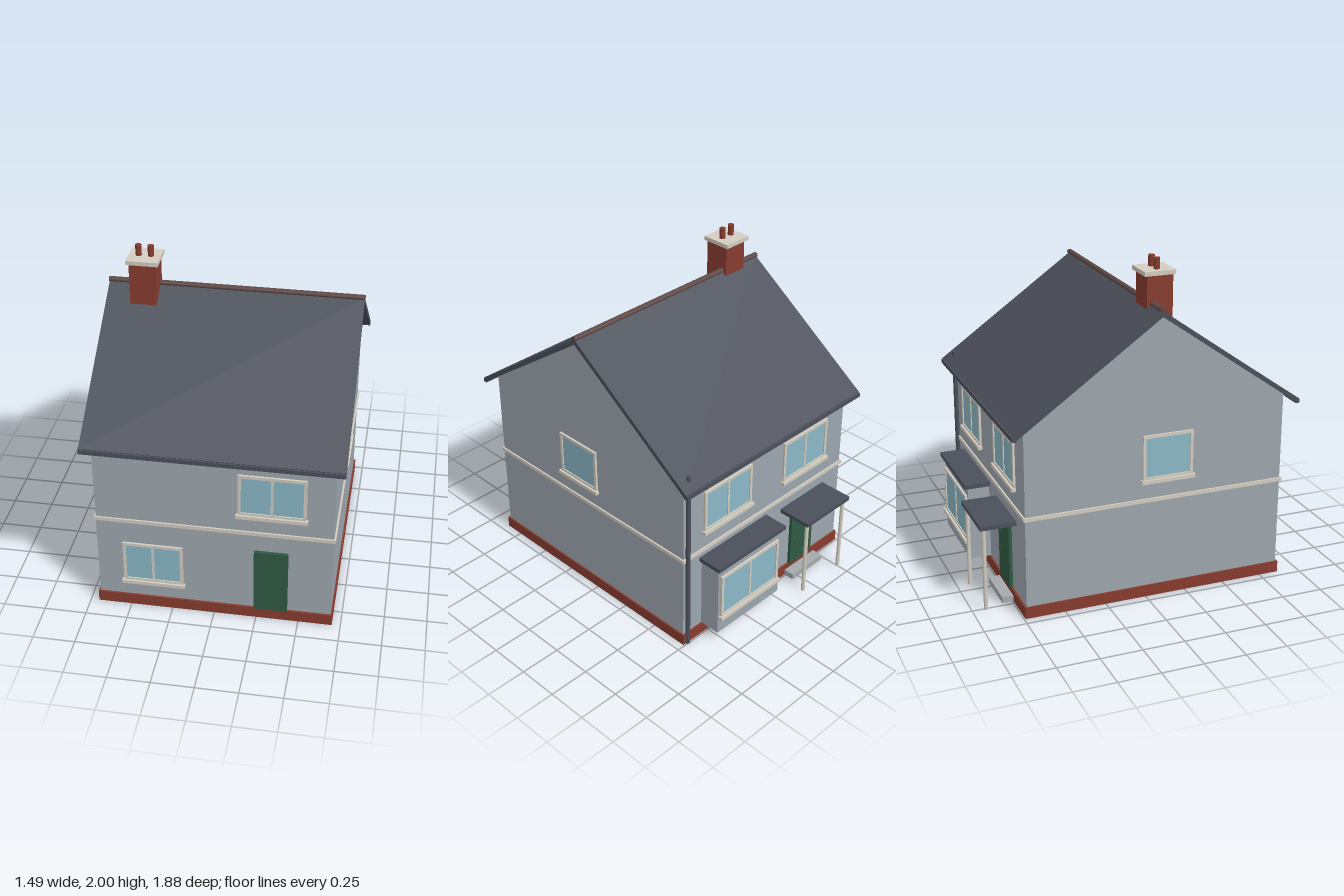
import * as THREE from 'three';

const mat = (name, color) => {
  const m = new THREE.MeshStandardMaterial({ color });
  m.name = name;
  return m;
};

export function createModel() {
  const wall = mat('render grey', 0x9da6ae);
  const slate = mat('slate', 0x4b4f5a);
  const brick = mat('brick red', 0x873c2f);
  const cream = mat('cream trim', 0xd3cdc1);
  const glass = mat('glass blue', 0x8bb8c7);
  const green = mat('door green', 0x2f5a42);
  const ridgeBrown = mat('ridge brown', 0x5e4846);
  const stone = mat('step stone', 0xa4a9ad);

  const house = new THREE.Group();
  house.name = 'house';

  const add = (parent, name, geometry, material) => {
    const mesh = new THREE.Mesh(geometry, material);
    mesh.name = name;
    parent.add(mesh);
    return mesh;
  };
  // Box given by its min and max on each axis
  const box = (parent, name, material, x0, x1, y0, y1, z0, z1) => {
    const mesh = add(parent, name, new THREE.BoxGeometry(x1 - x0, y1 - y0, z1 - z0), material);
    mesh.position.set((x0 + x1) / 2, (y0 + y1) / 2, (z0 + z1) / 2);
    return mesh;
  };
  const post = (parent, name, material, r, x, z, y0, y1) => {
    const mesh = add(parent, name, new THREE.CylinderGeometry(r, r, y1 - y0, 16), material);
    mesh.position.set(x, (y0 + y1) / 2, z);
    return mesh;
  };
  // Extrude a (z, y) outline along x, centred
  const acrossX = (points, width) => {
    const shape = new THREE.Shape(points.map(p => new THREE.Vector2(p[0], p[1])));
    return new THREE.ExtrudeGeometry(shape, { depth: width, bevelEnabled: false })
      .translate(0, 0, -width / 2).rotateY(-Math.PI / 2);
  };

  const RIDGE_Z = 0.065, FRONT = 0.86, BACK = -0.73, SIDE = 0.69;

  // Gabled walls, plinth and string course
  add(house, 'walls', acrossX([[BACK, 0.03], [FRONT, 0.03], [FRONT, 1.15], [RIDGE_Z, 1.715], [BACK, 1.15]], SIDE * 2), wall);
  box(house, 'plinth', brick, -0.7, 0.7, 0, 0.07, BACK - 0.012, FRONT + 0.012);
  box(house, 'stringCourse', cream, -0.7, 0.7, 0.602, 0.625, BACK - 0.01, FRONT + 0.01);

  // Pitched roof with gutters and ridge
  const reach = 0.865;
  add(house, 'roof', acrossX([
    [RIDGE_Z - reach, 1.132], [RIDGE_Z - reach + 0.014, 1.11], [RIDGE_Z, 1.712],
    [RIDGE_Z + reach - 0.014, 1.11], [RIDGE_Z + reach, 1.132], [RIDGE_Z, 1.746],
  ], 1.484), slate);
  for (const s of [-1, 1]) {
    const z = RIDGE_Z + s * 0.862;
    box(house, 'gutter', slate, -0.742, 0.742, 1.103, 1.128, z - 0.012, z + 0.012);
  }
  const ridge = add(house, 'ridge', new THREE.CylinderGeometry(0.018, 0.018, 1.49, 12), ridgeBrown);
  ridge.rotation.z = Math.PI / 2;
  ridge.scale.x = 0.8;
  ridge.position.set(0, 1.749, RIDGE_Z);

  // Chimney
  const chimney = new THREE.Group();
  chimney.name = 'chimney';
  house.add(chimney);
  box(chimney, 'chimneyStack', brick, -0.597, -0.441, 1.6, 1.913, 0.03, 0.186);
  box(chimney, 'chimneyCap', cream, -0.612, -0.426, 1.91, 1.935, 0.01, 0.196);
  for (const x of [-0.555, -0.483]) post(chimney, 'chimneyPot', brick, 0.018, x, 0.103, 1.93, 2);

  // Window facing local +z: frame, glass, optional mullion, sill
  const addWindow = (x, y, z, turn, w, h, mullion) => {
    const g = new THREE.Group();
    g.name = 'window';
    const b = 0.018, hw = w / 2;
    box(g, 'glass', glass, -hw + b, hw - b, b, h - b, 0, 0.006);
    for (const s of [-1, 1]) {
      const c = s * (hw - b / 2);
      box(g, 'frameSide', cream, c - b / 2, c + b / 2, 0, h, 0, 0.013);
    }
    box(g, 'frameTop', cream, -hw + b, hw - b, h - b, h, 0, 0.013);
    box(g, 'frameBottom', cream, -hw + b, hw - b, 0, b, 0, 0.013);
    if (mullion) box(g, 'mullion', cream, -0.007, 0.007, b, h - b, 0, 0.011);
    box(g, 'sill', cream, -hw - 0.01, hw + 0.01, -0.018, 0.004, 0, 0.026);
    g.position.set(x, y, z);
    g.rotation.y = turn;
    house.add(g);
  };
  const H = Math.PI / 2;
  addWindow(-0.36, 0.183, FRONT, 0, 0.355, 0.273, true);
  addWindow(0.335, 0.74, FRONT, 0, 0.39, 0.273, true);
  for (const s of [-1, 1]) {
    addWindow(s * 0.335, 0.74, BACK, Math.PI, 0.39, 0.273, true);
    addWindow(s * SIDE, 0.74, 0.13, s * H, 0.31, 0.273, false);
  }

  // Doors
  box(house, 'frontDoor', green, 0.236, 0.434, 0.07, 0.49, FRONT - 0.01, FRONT + 0.02);
  box(house, 'backDoor', green, -0.434, -0.236, 0.07, 0.49, BACK - 0.02, BACK + 0.01);
  const knob = add(house, 'doorKnob', new THREE.SphereGeometry(0.007, 12, 8), ridgeBrown);
  knob.position.set(-0.26, 0.27, BACK - 0.024);

  // Bay at the back
  box(house, 'bay', wall, 0.01, 0.54, 0.07, 0.545, -0.862, BACK + 0.01);
  box(house, 'bayRoof', slate, -0.01, 0.56, 0.54, 0.566, -0.886, BACK + 0.01);
  addWindow(0.277, 0.185, -0.862, Math.PI, 0.49, 0.295, true);

  // Porch canopy, posts and step
  box(house, 'canopy', slate, -0.534, -0.142, 0.51, 0.535, -0.945, BACK + 0.01);
  for (const x of [-0.505, -0.17]) post(house, 'canopyPost', cream, 0.012, x, -0.918, 0, 0.512);
  box(house, 'step', stone, -0.475, -0.2, 0, 0.037, -0.81, BACK);

  // Downpipe at the back corner
  post(house, 'downpipe', slate, 0.014, 0.665, -0.743, 0, 1.192);

  return house;
}
